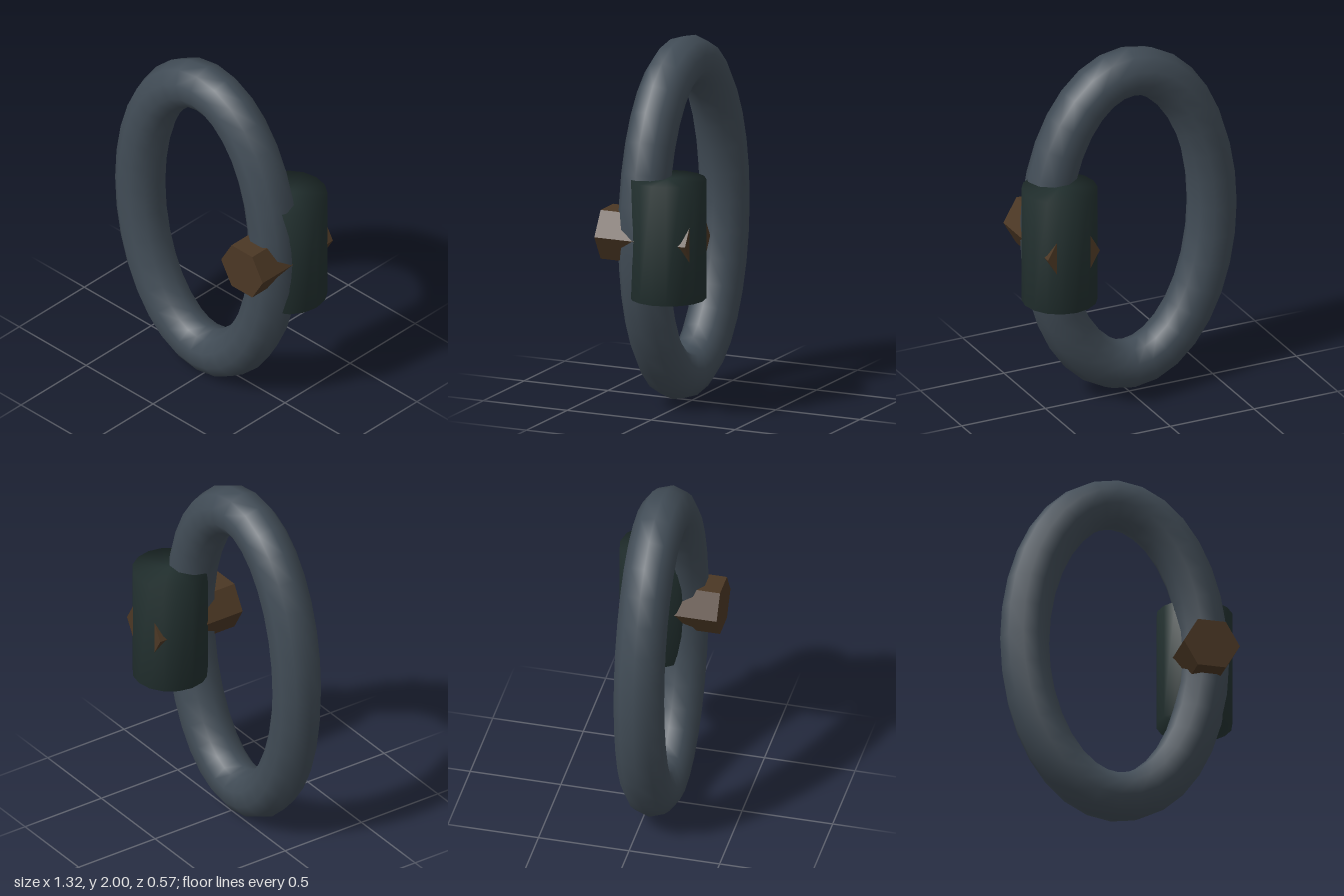
import * as THREE from 'three';
import { mergeVertices } from 'three/addons/utils/BufferGeometryUtils.js';

const material = (name, color, flatShading = false) => {
  const m = new THREE.MeshStandardMaterial({ color, flatShading });
  m.name = name;
  return m;
};

// Share corners so that shading runs smoothly over every edge
function smooth(geometry) {
  geometry.deleteAttribute('normal');
  geometry.deleteAttribute('uv');
  const merged = mergeVertices(geometry, 1e-4);
  merged.computeVertexNormals();
  return merged;
}

// Round tube of constant thickness swept along an upright ellipse
function ovalRing(rx, ry, tube, sides, segments) {
  const geometry = new THREE.TorusGeometry(1, tube, sides, segments);
  const p = geometry.attributes.position;
  for (let i = 0; i < p.count; i++) {
    const x = p.getX(i), y = p.getY(i);
    const a = Math.atan2(y, x), offset = Math.hypot(x, y) - 1;
    const normal = new THREE.Vector2(Math.cos(a) / rx, Math.sin(a) / ry).normalize();
    p.setXY(i, rx * Math.cos(a) + normal.x * offset, ry * Math.sin(a) + normal.y * offset);
  }
  return smooth(geometry);
}

export function createModel() {
  const group = new THREE.Group();
  const add = (name, geometry, mat, x, y, z) => {
    const mesh = new THREE.Mesh(geometry, mat);
    mesh.name = name;
    mesh.position.set(x, y, z);
    group.add(mesh);
  };

  // Oval link
  add('ovalRing', ovalRing(0.4985, 0.862, 0.136, 10, 32),
    material('slate grey', 0x414c56), -0.025, 1.0, 0.06);

  // Upright barrel behind the right-hand limb of the ring
  add('barrel', smooth(new THREE.CylinderGeometry(0.205, 0.205, 0.655, 16)),
    material('dark green', 0x22302f), 0.455, 1.003, -0.08);

  // Hexagonal pin running front to back through ring and barrel
  const pin = new THREE.CylinderGeometry(0.155, 0.155, 0.54, 6);
  pin.rotateY(Math.PI / 2).rotateX(Math.PI / 2);
  add('hexPin', pin, material('brown', 0x4b3724, true), 0.455, 1.003, 0.015);

  return group;
}
